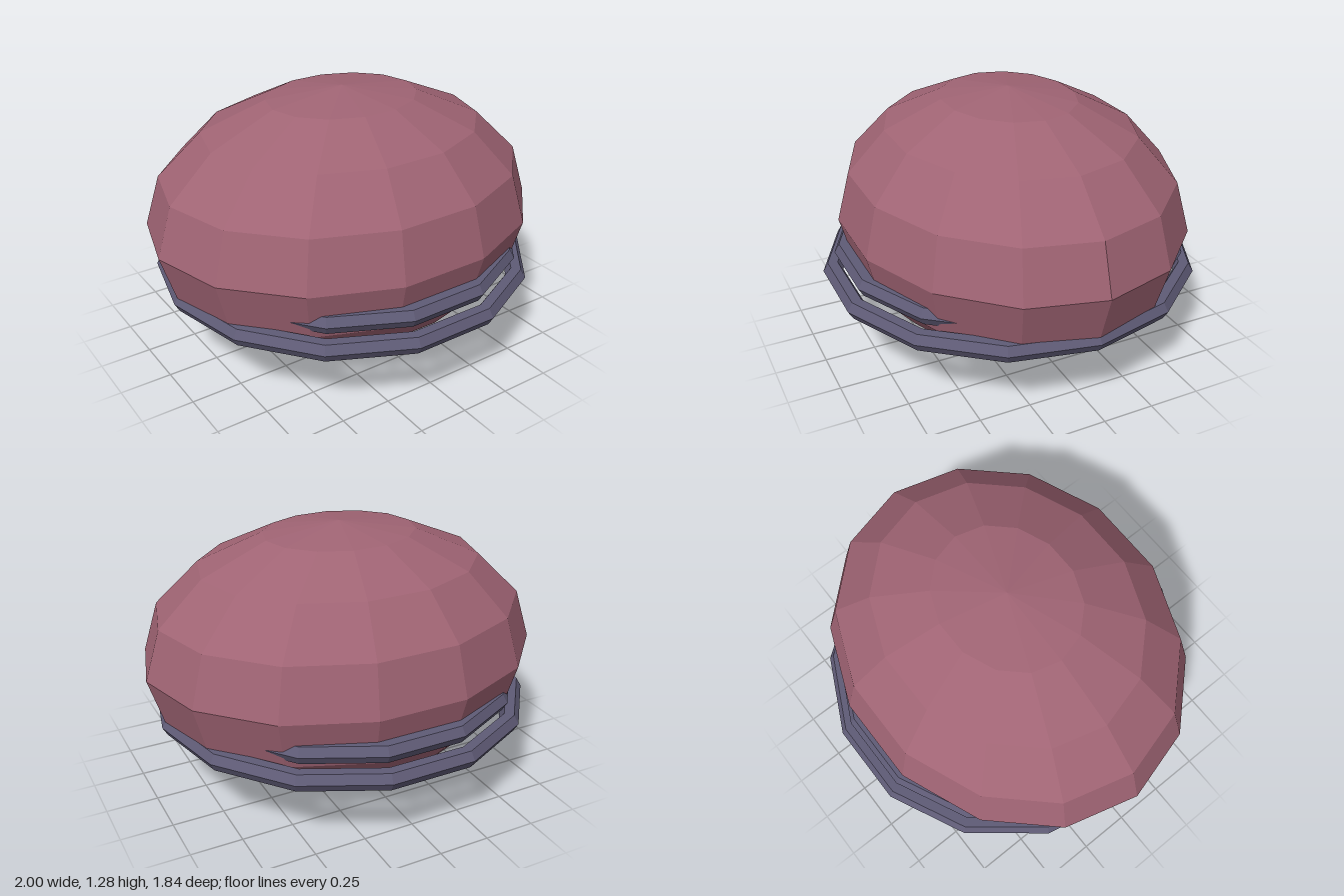
import * as THREE from 'three';

const SIDES = 14;

function material(color) {
  return new THREE.MeshStandardMaterial({ color, flatShading: true });
}

// Horizontal hexagonal-section hoop
function ring(name, radius, y, mat) {
  const geometry = new THREE.TorusGeometry(radius, 0.049, 6, SIDES);
  geometry.rotateX(Math.PI / 2);
  const mesh = new THREE.Mesh(geometry, mat);
  mesh.name = name;
  mesh.position.y = y;
  return mesh;
}

export function createModel() {
  const group = new THREE.Group();
  group.name = 'ringedOvoid';

  // Faceted body, slightly narrower front to back
  const bodyGeometry = new THREE.SphereGeometry(1, SIDES, 8);
  bodyGeometry.scale(1, 0.638, 0.84);
  const body = new THREE.Mesh(bodyGeometry, material(0xa06474));
  body.name = 'body';
  body.position.y = 0.642;
  group.add(body);

  // Two hoops; the upper one sinks into the body at the sides
  const ringMaterial = material(0x5f5b76);
  group.add(ring('lowerRing', 0.896, 0.382, ringMaterial));
  group.add(ring('upperRing', 0.833, 0.482, ringMaterial));

  return group;
}
